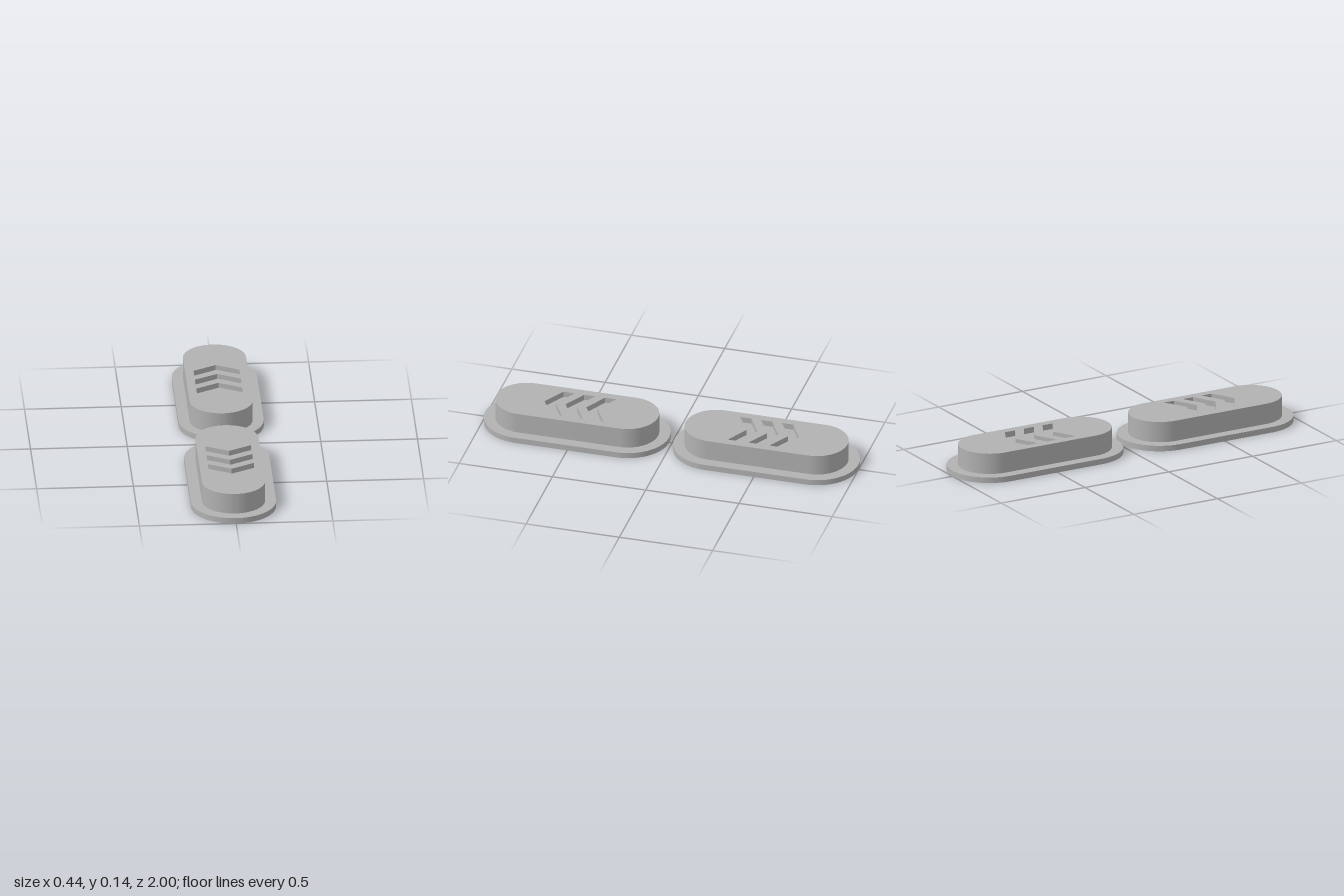
import * as THREE from 'three';
import { toCreasedNormals } from 'three/addons/utils/BufferGeometryUtils.js';

const grey = new THREE.MeshStandardMaterial({ color: 0xb2b2b2 });
grey.name = 'grey';

// Stadium outline: half width r, half length h along the shape's y axis
function stadium(r, h) {
  const s = new THREE.Shape();
  s.absarc(0, h - r, r, 0, Math.PI, false);
  s.absarc(0, r - h, r, Math.PI, Math.PI * 2, false);
  s.closePath();
  return s;
}

function polygon(points) {
  return new THREE.Path(points.map(([x, y]) => new THREE.Vector2(x, y)));
}

// Flat slab from height y0 to y1; shape y runs towards -z
function slab(name, shape, y0, y1) {
  const geo = new THREE.ExtrudeGeometry(shape, { depth: y1 - y0, bevelEnabled: false, curveSegments: 32 });
  geo.rotateX(-Math.PI / 2);
  geo.translate(0, y0, 0);
  const mesh = new THREE.Mesh(toCreasedNormals(geo, 0.5), grey);
  mesh.name = name;
  return mesh;
}

function createPad() {
  const pad = new THREE.Group();

  // Base flange with a rectangular pocket underneath
  const flange = stadium(0.22, 0.4925);
  flange.holes.push(polygon([[-0.077, -0.122], [-0.077, 0.122], [0.077, 0.122], [0.077, -0.122]]));
  pad.add(slab('flange', flange, 0, 0.03));

  // Solid body, whose underside closes the pocket
  pad.add(slab('body', stadium(0.163, 0.433), 0.03, 0.11));

  // Top layer with three engraved chevrons pointing to +z
  const top = stadium(0.163, 0.433);
  const w = 0.119, t = 0.06, rise = 0.066;
  for (let i = 0; i < 3; i++) {
    const y = 0.175 - i * 0.112;
    top.holes.push(polygon([
      [-w, y], [0, y - rise], [w, y],
      [w, y - t], [0, y - rise - t], [-w, y - t],
    ]));
  }
  pad.add(slab('chevronTop', top, 0.11, 0.14));
  return pad;
}

export function createModel() {
  const model = new THREE.Group();
  model.name = 'arrowPads';
  // Two pads end to end, arrows pointing outwards
  for (const side of [1, -1]) {
    const pad = createPad();
    pad.name = side > 0 ? 'frontPad' : 'backPad';
    pad.position.z = side * 0.5075;
    if (side < 0) pad.rotation.y = Math.PI;
    model.add(pad);
  }
  return model;
}
